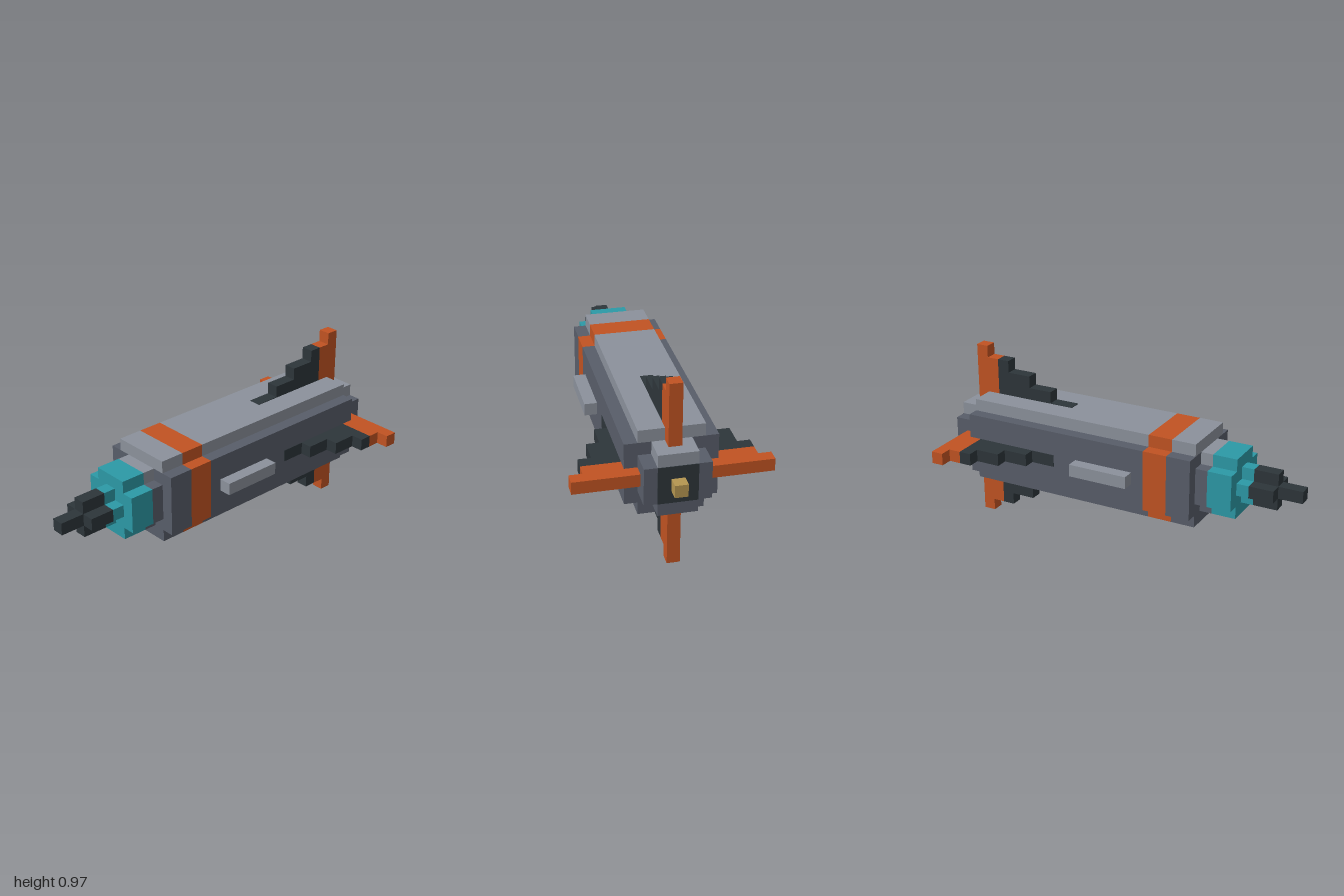
import * as THREE from 'three';

const U = 2 / 31; // one block

const mat = (name, color) => {
  const m = new THREE.MeshStandardMaterial({ color });
  m.name = name;
  return m;
};

export function createModel() {
  const hull = mat('slate grey', 0x585d69);
  const light = mat('light grey', 0x8b919b);
  const dark = mat('charcoal', 0x2d353a);
  const orange = mat('burnt orange', 0xc15322);
  const teal = mat('teal', 0x2c99a6);
  const brass = mat('brass', 0xb59650);

  const model = new THREE.Group();
  model.name = 'rocket';
  // everything below is in blocks around the long axis
  const body = new THREE.Group();
  body.name = 'body';
  body.scale.setScalar(U);
  body.position.y = 7.5 * U;
  model.add(body);

  const add = (parent, name, geometry, material) => {
    const mesh = new THREE.Mesh(geometry, material);
    mesh.name = name;
    parent.add(mesh);
    return mesh;
  };
  const box = (parent, name, material, x0, x1, y0, y1, z0, z1) =>
    add(parent, name, new THREE.BoxGeometry(x1 - x0, y1 - y0, z1 - z0), material)
      .position.set((x0 + x1) / 2, (y0 + y1) / 2, (z0 + z1) / 2);

  // Square section of half width r with one block cut from each corner;
  // open = leave out the top row
  const section = (name, material, r, z0, z1, open = false) => {
    const s = r - 1;
    const pts = [[-s, -r], [s, -r], [s, -s], [r, -s], [r, s]];
    if (!open) pts.push([s, s], [s, r], [-s, r], [-s, s]);
    pts.push([-r, s], [-r, -s], [-s, -s]);
    const shape = new THREE.Shape(pts.map(([x, y]) => new THREE.Vector2(x, y)));
    const g = new THREE.ExtrudeGeometry(shape, { depth: z1 - z0, bevelEnabled: false });
    add(body, name, g.translate(0, 0, z0), material);
  };
  // Slate section with a light top row
  const hullSection = (name, r, z0, z1) => {
    section(name, hull, r, z0, z1, true);
    box(body, name + 'Top', light, 1 - r, r - 1, r - 1, r, z0, z1);
  };

  // Nose, stepping down to the tip
  box(body, 'noseTip', dark, -0.5, 0.5, -0.5, 0.5, 13.5, 15.5);
  section('noseCone', dark, 1.5, 11.5, 13.5);
  section('noseCollar', teal, 1.5, 10.5, 11.5);
  section('noseRing', teal, 2.5, 8.5, 10.5);

  // Hull
  hullSection('neck', 2.5, 7.5, 8.5);
  hullSection('frontHull', 3.5, 5.5, 7.5);
  section('band', orange, 3.5, 3.5, 5.5);
  hullSection('mainHull', 3.5, -12.5, 3.5);
  hullSection('tail', 2.5, -14.5, -12.5);

  // Engine
  box(body, 'enginePlate', dark, -1.5, 1.5, -1.5, 1.5, -14.55, -14.4);
  box(body, 'nozzle', brass, -0.5, 0.5, -0.5, 0.5, -15.5, -14.5);

  // Side rails
  for (const [name, x] of [['leftRail', 3.5], ['rightRail', -4.5]])
    box(body, name, light, x, x + 1, -0.5, 0.5, -2.5, 2.5);

  // Four stepped fins
  ['topFin', 'rightFin', 'bottomFin', 'leftFin'].forEach((name, i) => {
    const fin = new THREE.Group();
    fin.name = name;
    fin.rotation.z = i * Math.PI / 2;
    body.add(fin);
    box(fin, 'finRoot', dark, -0.5, 0.5, 3.4, 3.55, -6.5, -4.5);
    [[4.5, -8.5, -6.5], [5.5, -10.5, -8.5], [6.5, -11.5, -10.5]].forEach(([h, z0, z1]) =>
      box(fin, 'finStep', dark, -0.5, 0.5, 3.4, h, z0, z1));
    box(fin, 'finEdge', orange, -0.5, 0.5, 3.4, 6.5, -12.5, -11.5);
    box(fin, 'finTip', orange, -0.5, 0.5, 2.4, 7.5, -13.5, -12.5);
  });

  return model;
}
